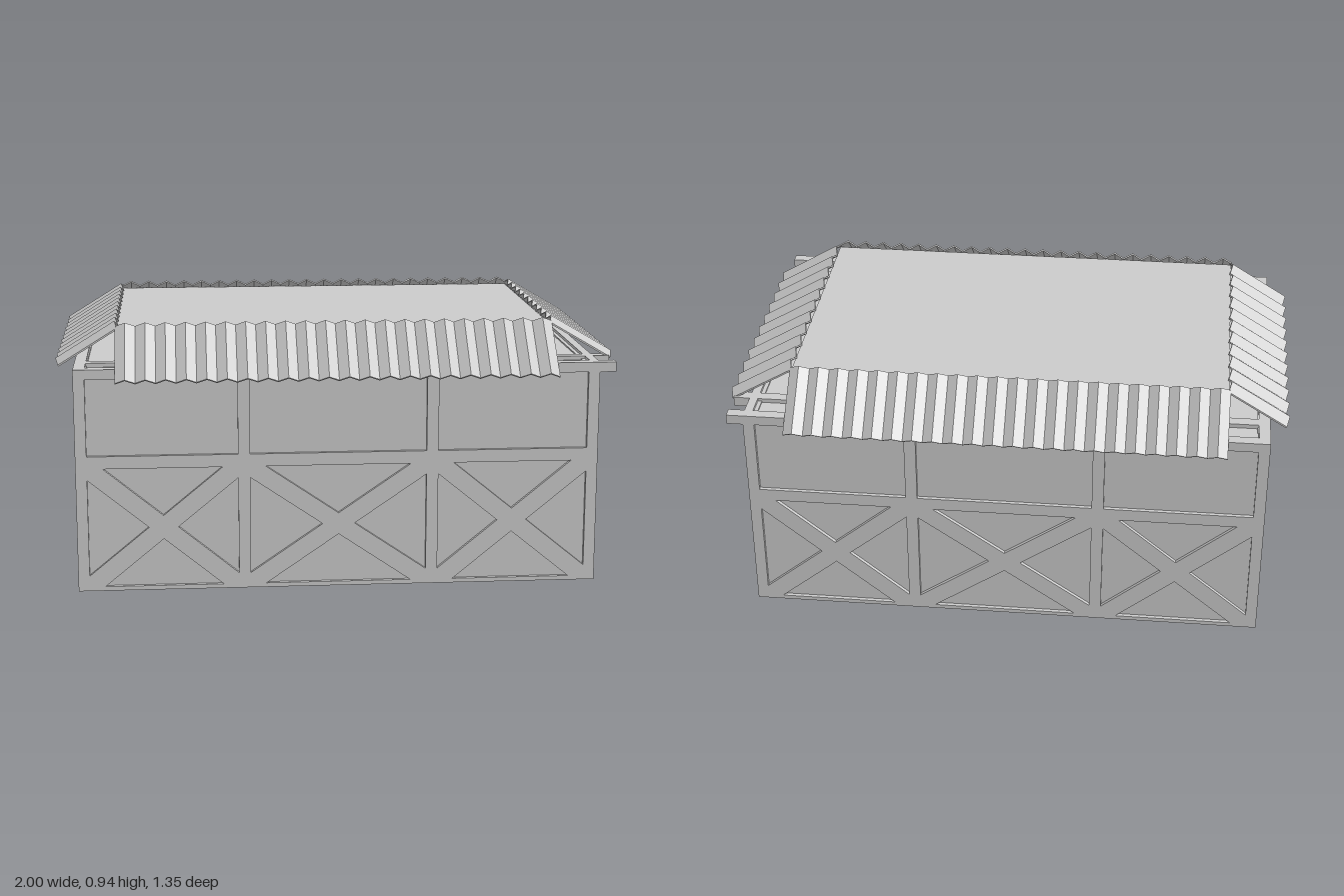
import * as THREE from 'three';

const mat = new THREE.MeshStandardMaterial({ color: 0xcccccc, flatShading: true, side: THREE.DoubleSide });

export function createModel() {
  const root = new THREE.Group();
  const X0 = -0.93, X1 = 0.922, Z = 0.617, H = 0.8;
  const RECESS = 0.014, WALL = 0.03;

  const add = (name, geo, parent = root) => {
    const m = new THREE.Mesh(geo, mat);
    m.name = name;
    parent.add(m);
    return m;
  };
  // box given by its limits on each axis
  const box = (name, x0, x1, y0, y1, z0, z1, parent = root) => {
    const m = add(name, new THREE.BoxGeometry(x1 - x0, y1 - y0, z1 - z0), parent);
    m.position.set((x0 + x1) / 2, (y0 + y1) / 2, (z0 + z1) / 2);
    return m;
  };
  const rect = (path, x0, x1, y0, y1) =>
    path.moveTo(x0, y0).lineTo(x1, y0).lineTo(x1, y1).lineTo(x0, y1).closePath();

  // floor and ceiling
  box('floor', X0, X1, 0, 0.015, -Z, Z);
  box('ceiling', X0 + 0.02, X1 - 0.02, 0.765, 0.785, -Z + 0.02, Z - 0.02);

  // corner posts
  for (const s of [-1, 1]) {
    for (const [a, b] of [[X0, X0 + 0.04], [X1 - 0.04, X1]])
      box('cornerPost', a, b, 0, H, s * Z - (s > 0 ? 0.04 : 0), s * Z + (s > 0 ? 0 : 0.04));
  }

  // long timber-framed walls, front and back
  const bays = [[-0.89, -0.36], [-0.318, 0.308], [0.35, 0.882]];
  for (const s of [1, -1]) {
    const side = new THREE.Group();
    side.name = s > 0 ? 'frontWall' : 'backWall';
    root.add(side);
    const span = (d0, d1) => (s > 0 ? [Z - d1, Z - d0] : [-Z + d0, -Z + d1]);
    box('wallPanel', X0 + 0.02, X1 - 0.02, 0.01, 0.79, ...span(RECESS, RECESS + WALL), side);
    box('middleRail', X0 + 0.04, X1 - 0.04, 0.445, 0.49, ...span(0, 0.04), side);
    box('topBeam', X0, 0.98, 0.765, H, ...span(0, 0.04), side);
    box('innerBeam', X0 + 0.03, 0.98, 0.765, H, ...span(0.121, 0.161), side);
    box('post', -0.36, -0.318, 0.015, 0.765, ...span(0, 0.04), side);
    box('post', 0.308, 0.35, 0.015, 0.765, ...span(0, 0.04), side);
    // crossed braces, clipped square to the bay corners
    for (const [a, b] of bays) {
      const lo = 0.015, hi = 0.445, dx = 0.055, dy = 0.04;
      for (const flip of [false, true]) {
        const p = flip ? b : a, q = flip ? a : b, k = flip ? -dx : dx;
        const brace = new THREE.Shape();
        brace.moveTo(p, lo).lineTo(p + k, lo).lineTo(q, hi - dy);
        brace.lineTo(q, hi).lineTo(q - k, hi).lineTo(p, lo + dy).closePath();
        const m = add('crossBrace', new THREE.ExtrudeGeometry(brace, { depth: RECESS + 0.005, bevelEnabled: false }), side);
        m.position.z = s > 0 ? Z - RECESS - 0.005 : -Z;
      }
    }
  }

  // plain end wall on the right-hand side of the model
  box('endWall', X0 + RECESS, X0 + RECESS + WALL, 0.01, 0.79, -Z + 0.02, Z - 0.02);
  // rails on both ends
  for (const [a, b] of [[X0, X0 + 0.04], [X1 - 0.03, X1]]) {
    box('endMiddleRail', a, b, 0.445, 0.49, -Z + 0.04, Z - 0.04);
    box('endTopRail', a, b, 0.765, H, -Z + 0.04, Z - 0.04);
  }

  // entrance wall with door, windows and round window cut out
  const entrance = new THREE.Shape();
  rect(entrance, -Z + 0.02, Z - 0.02, 0.012, 0.79);
  const cut = (...r) => { const h = new THREE.Path(); rect(h, ...r); entrance.holes.push(h); };
  cut(-0.155, 0.155, 0.016, 0.375);
  cut(-0.465, -0.285, 0.13, 0.295);
  cut(0.285, 0.465, 0.13, 0.295);
  const porthole = new THREE.Path();
  porthole.absarc(0, 0.62, 0.076, 0, Math.PI * 2);
  entrance.holes.push(porthole);
  const entranceGeo = new THREE.ExtrudeGeometry(entrance, { depth: WALL, bevelEnabled: false, curveSegments: 24 });
  add('entranceWall', entranceGeo.rotateY(Math.PI / 2)).position.x = X1 - RECESS - WALL;

  // round window cross and rim
  const wx = X1 - RECESS;
  box('roundWindowBar', wx - 0.022, wx - 0.004, 0.612, 0.628, -0.076, 0.076);
  box('roundWindowBar', wx - 0.022, wx - 0.004, 0.545, 0.695, -0.008, 0.008);
  const rim = add('roundWindowRim', new THREE.TorusGeometry(0.079, 0.005, 6, 32).rotateY(Math.PI / 2));
  rim.position.set(wx, 0.62, 0);

  // square windows
  for (const s of [-1, 1]) {
    const win = new THREE.Group();
    win.name = 'window';
    win.position.set(wx, 0, s * 0.375);
    root.add(win);
    const frame = new THREE.Shape();
    rect(frame, -0.115, 0.115, 0.125, 0.316);
    const hole = new THREE.Path();
    rect(hole, -0.09, 0.09, 0.13, 0.295);
    frame.holes.push(hole);
    add('windowFrame', new THREE.ExtrudeGeometry(frame, { depth: 0.018, bevelEnabled: false }).rotateY(Math.PI / 2), win);
    box('windowSill', 0, 0.037, 0.112, 0.131, -0.115, 0.115, win);
    box('windowBar', -0.02, -0.004, 0.207, 0.22, -0.09, 0.09, win);
    box('windowBar', -0.02, -0.004, 0.13, 0.295, -0.0065, 0.0065, win);
    const boss = box('windowBoss', -0.021, -0.002, 0.202, 0.225, -0.0115, 0.0115, win);
    boss.rotation.x = Math.PI / 4;
  }

  // planked door swung inwards
  const door = new THREE.Group();
  door.name = 'door';
  door.position.set(X1 - RECESS - 0.01, 0, 0.11);
  door.rotation.y = -0.21;
  root.add(door);
  box('doorLeaf', -0.305, 0, 0.018, 0.372, 0.006, 0.044, door);
  const planks = 11, ph = 0.354 / planks;
  for (let i = 0; i < planks; i++)
    box('doorPlank', -0.305, 0, 0.018 + i * ph + 0.002, 0.018 + (i + 1) * ph - 0.002, 0, 0.008, door);
  const knob = add('doorKnob', new THREE.SphereGeometry(0.011, 10, 8), door);
  knob.position.set(-0.28, 0.195, -0.01);

  // flat roof deck on corner posts
  box('roofDeck', -0.78, 0.767, 0.9, 0.915, -0.487, 0.487);
  for (const s of [-1, 1]) {
    const z0 = s > 0 ? 0.45 : -0.487;
    box('deckBeam', -0.78, 0.767, 0.87, 0.9, z0, z0 + 0.037);
    box('deckPost', -0.78, -0.743, 0.78, 0.9, z0, z0 + 0.037);
    box('deckPost', 0.73, 0.767, 0.78, 0.9, z0, z0 + 0.037);
  }
  box('deckBeam', -0.78, -0.743, 0.87, 0.9, -0.45, 0.45);
  box('deckBeam', 0.73, 0.767, 0.87, 0.9, -0.45, 0.45);

  // corrugated sheet: zigzag strip extruded down the slope
  const sheet = (name, width, teeth, angle, cx, top, topY, run, drop) => {
    const pts = [], n = teeth * 2, t = 0.006;
    for (let i = 0; i <= n; i++)
      pts.push(new THREE.Vector2(-width / 2 + (width * i) / n, i % 2 ? 0.01 : -0.01));
    const lower = pts.map(p => new THREE.Vector2(p.x, p.y - t)).reverse();
    const geo = new THREE.ExtrudeGeometry(new THREE.Shape([...pts, ...lower]),
      { depth: Math.hypot(run, drop), bevelEnabled: false });
    geo.rotateX(Math.atan2(drop, run)).translate(0, topY, top).rotateY(angle);
    add(name, geo).position.x = cx;
  };
  sheet('frontRoofSheet', 1.555, 22, 0, -0.007, 0.487, 0.935, 0.183, 0.168);
  sheet('backRoofSheet', 1.555, 22, Math.PI, -0.007, 0.487, 0.935, 0.183, 0.168);
  sheet('leftRoofSheet', 0.975, 11, Math.PI / 2, 0, 0.77, 0.932, 0.222, 0.13);
  sheet('rightRoofSheet', 0.975, 11, -Math.PI / 2, 0, 0.783, 0.932, 0.21, 0.13);

  return root;
}
